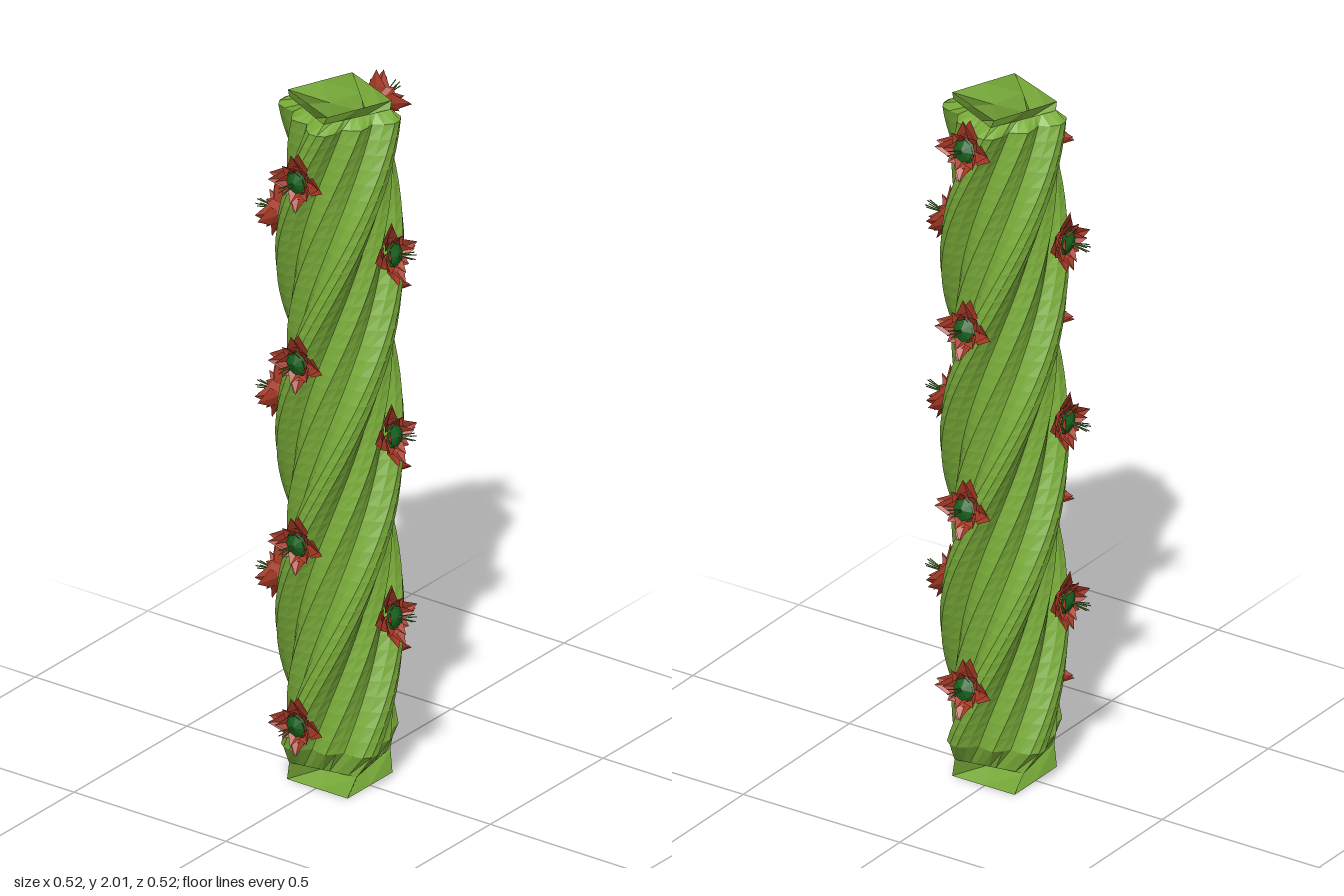
import * as THREE from 'three';

const material = (color) =>
  new THREE.MeshStandardMaterial({ color, flatShading: true, side: THREE.DoubleSide });
const STEM = material(0x7aad3a);
const PETAL = material(0xa83a26);
const HEART = material(0x14601c);
const STAMEN = material(0x5a8a34);

const PITCH = 2.13; // height of one full turn of the twist
const rad = THREE.MathUtils.degToRad;

// Skin twisted rings; profile(i) lists [degrees, radius] around the stem
function twistedShell(heights, profile) {
  const pos = [], index = [];
  heights.forEach((y, i) => {
    const ring = profile(i), n = ring.length;
    for (const [deg, r] of ring) {
      const a = rad(deg) + (y / PITCH) * Math.PI * 2;
      pos.push(r * Math.sin(a), y, r * Math.cos(a));
    }
    if (i === 0) return;
    for (let j = 0; j < n; j++) {
      const a = (i - 1) * n + j, b = (i - 1) * n + (j + 1) % n;
      index.push(a, b, b + n, a, b + n, a + n);
    }
  });
  return flatGeometry(pos, index);
}

function flatGeometry(pos, index) {
  const g = new THREE.BufferGeometry();
  g.setAttribute('position', new THREE.Float32BufferAttribute(pos, 3));
  g.setIndex(index);
  const flat = g.toNonIndexed();
  flat.computeVertexNormals();
  return flat;
}

// Repeat one quarter of a cross-section around the four corners
const fourfold = (quarter) =>
  [45, 135, 225, 315].flatMap((c) => quarter.map(([d, r]) => [c + d, r]));

const steps = (from, to, count) =>
  Array.from({ length: count + 1 }, (_, i) => from + ((to - from) * i) / count);

// A folded, pointed petal lying along +y and rising towards +z
const petalGeometry = (length, width, rise, tipRise) => flatGeometry([
  0, 0.008, 0,
  width, length * 0.5, rise,
  0, length * 0.5, rise * 0.6,
  -width, length * 0.5, rise,
  0, length, tipRise,
], [0, 1, 2, 0, 2, 3, 1, 4, 2, 2, 4, 3]);

// Flower facing +z with its base at the origin
function createFlower() {
  const flower = new THREE.Group();
  flower.name = 'flower';
  const add = (name, geometry, mat) => {
    const mesh = new THREE.Mesh(geometry, mat);
    mesh.name = name;
    flower.add(mesh);
    return mesh;
  };
  const layers = [
    ['outerPetal', petalGeometry(0.088, 0.028, 0.018, 0.03), -5],
    ['outerPetal', petalGeometry(0.084, 0.026, 0.028, 0.042), 5],
    ['diagonalPetal', petalGeometry(0.058, 0.024, 0.024, 0.036), 45],
    ['innerPetal', petalGeometry(0.05, 0.02, 0.036, 0.056), 0],
  ];
  for (const [name, geometry, offset] of layers) {
    for (let k = 0; k < 4; k++) {
      add(name, geometry, PETAL).rotation.z = rad(offset + k * 90);
    }
  }
  // Open cup behind the petals
  const cup = add('cup', new THREE.CylinderGeometry(0.05, 0.022, 0.028, 8, 1, true), PETAL);
  cup.rotation.x = Math.PI / 2;
  cup.position.z = 0.012;
  // Dark centre
  const heart = add('flowerCentre', new THREE.ConeGeometry(0.036, 0.016, 8), HEART);
  heart.rotation.x = Math.PI / 2;
  heart.position.z = 0.036;
  // Thin stamens fanning out
  const stamen = new THREE.CylinderGeometry(0.0016, 0.0016, 0.066, 5).translate(0, 0.033, 0);
  for (let k = 0; k < 5; k++) {
    const m = add('stamen', stamen, STAMEN);
    const a = rad(72 * k);
    const dir = new THREE.Vector3(Math.cos(a) * 0.17, Math.sin(a) * 0.17, 1).normalize();
    m.quaternion.setFromUnitVectors(new THREE.Vector3(0, 1, 0), dir);
    m.position.z = 0.028;
  }
  return flower;
}

export function createModel() {
  const model = new THREE.Group();
  model.name = 'twistedCactus';
  model.position.x = 0.004;

  // Hollow square core, open at both ends, with sides pinched inward
  const coreHeights = steps(0, 2, 36);
  const core = new THREE.Mesh(twistedShell(coreHeights, (i) =>
    fourfold([[0, 0.141], [45, i === 0 || i === 36 ? 0.1 : 0.072]])), STEM);
  core.name = 'core';

  // Four tall twisted ribs with a lower rib between each pair,
  // closing onto the core at both ends
  const rib = [[-34, 0.13], [-24, 0.122], [-16, 0.147], [-8, 0.167], [0, 0.171],
    [8, 0.167], [16, 0.147], [24, 0.122], [34, 0.13], [45, 0.14]];
  const closed = rib.map(([d]) => [d, 0.1 / Math.cos(rad(45 - Math.abs(d)))]);
  const ribHeights = [0.06, ...steps(0.125, 1.955, 46), 1.978];
  const ribs = new THREE.Mesh(twistedShell(ribHeights, (i) =>
    fourfold(i === 0 || i === ribHeights.length - 1 ? closed : rib)), STEM);
  ribs.name = 'ribs';
  model.add(core, ribs);

  // Columns of flowers: [side, heading, first height, count, sideways shift, tilt]
  const columns = [
    ['front', 0, 0.22, 4, 0, 0],
    ['left', 90, 0.522, 3, -0.015, -12],
    ['back', 180, 0.317, 4, 0, -14],
    ['right', 270, 0.553, 3, 0.015, 0],
  ];
  for (const [side, heading, first, count, shift, tilt] of columns) {
    const column = new THREE.Group();
    column.name = side + 'Flowers';
    column.rotation.y = rad(heading);
    for (let i = 0; i < count; i++) {
      const flower = createFlower();
      flower.position.set(shift, first + i * 0.532, 0.165);
      flower.rotation.x = rad(tilt);
      column.add(flower);
    }
    model.add(column);
  }
  return model;
}
